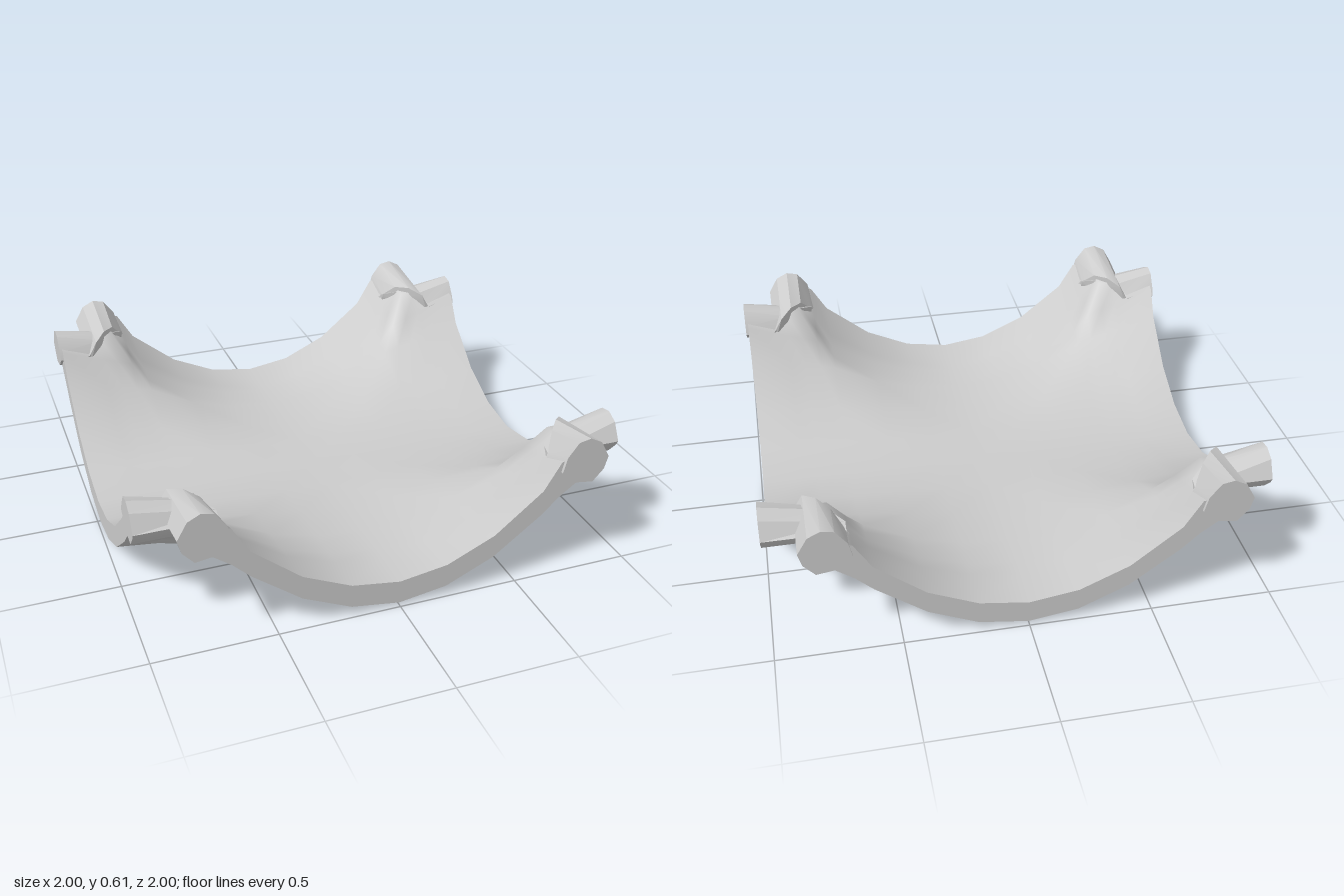
import * as THREE from 'three';
import { toCreasedNormals } from 'three/addons/utils/BufferGeometryUtils.js';

const half = [0.2, 0.4, 0.6, 0.67, 0.74, 0.81, 0.988];
const grid = [...half.map(v => -v).reverse(), 0, ...half];
const N = grid.length;

// Underside height: flat along the axes, lifted at the corners with a soft diagonal ridge
function under(x, z) {
  const far = Math.max(Math.abs(x), Math.abs(z), 0.01);
  return Math.min(0.405, 0.77 * x * x * z * z / far + 0.012 * z * z);
}

// Upper height: even thickness, swelling where the lugs grow out of the corners
function upper(x, z) {
  const near = Math.min(Math.abs(x), Math.abs(z));
  return Math.min(0.53, under(x, z) + 0.1 + 0.12 * THREE.MathUtils.smoothstep(near, 0.56, 0.78));
}

// Grid cells that exist: everything but the four notched corners
const hasCell = (i, j) => {
  if (i < 0 || j < 0 || i > N - 2 || j > N - 2) return false;
  return !((i === 0 || i === N - 2) && (j === 0 || j === N - 2));
};

function sheet(height, flip) {
  const pos = [], index = [];
  for (const z of grid) for (const x of grid) pos.push(x, height(x, z), z);
  for (let j = 0; j < N - 1; j++) for (let i = 0; i < N - 1; i++) {
    if (!hasCell(i, j)) continue;
    const a = j * N + i, b = a + 1, c = a + N, d = c + 1;
    // Split each cell along the diagonal that follows the corner ridge
    const ridge = (i < N / 2 - 1) === (j < N / 2 - 1);
    const tris = ridge ? [a, c, d, a, d, b] : [a, c, b, b, c, d];
    index.push(...(flip ? tris.reverse() : tris));
  }
  const geo = new THREE.BufferGeometry();
  geo.setAttribute('position', new THREE.Float32BufferAttribute(pos, 3));
  geo.setIndex(index);
  geo.computeVertexNormals();
  return geo;
}

// Upright walls wherever a cell has no neighbour
function rim() {
  const pos = [];
  const wall = (x0, z0, x1, z1) => {
    const a = [x0, under(x0, z0), z0], b = [x1, under(x1, z1), z1];
    const c = [x1, upper(x1, z1), z1], d = [x0, upper(x0, z0), z0];
    pos.push(...a, ...b, ...c, ...a, ...c, ...d);
  };
  for (let j = 0; j < N - 1; j++) for (let i = 0; i < N - 1; i++) {
    if (!hasCell(i, j)) continue;
    const x0 = grid[i], x1 = grid[i + 1], z0 = grid[j], z1 = grid[j + 1];
    if (!hasCell(i, j + 1)) wall(x0, z1, x1, z1);
    if (!hasCell(i, j - 1)) wall(x1, z0, x0, z0);
    if (!hasCell(i + 1, j)) wall(x1, z1, x1, z0);
    if (!hasCell(i - 1, j)) wall(x0, z0, x0, z1);
  }
  const geo = new THREE.BufferGeometry();
  geo.setAttribute('position', new THREE.Float32BufferAttribute(pos, 3));
  geo.computeVertexNormals();
  return geo;
}

// Rounded lug at the end of an edge: outline seen from the edge, run inwards
// to a slanted inner end; side is +1 or -1, drop lowers the top
function lug(side, drop) {
  const outline = [[0.67, 0.47], [0.685, 0.535], [0.73, 0.595], [0.78, 0.605],
    [0.83, 0.58], [0.87, 0.51], [0.855, 0.455], [0.81, 0.405], [0.74, 0.415]];
  const shape = new THREE.Shape(outline.map(([u, y]) =>
    new THREE.Vector2(side * u, y > 0.5 ? y - drop : y)));
  const geo = new THREE.ExtrudeGeometry(shape, { depth: 1, bevelEnabled: false });
  const p = geo.attributes.position;
  for (let k = 0; k < p.count; k++) {
    const u = Math.abs(p.getX(k)), y = p.getY(k), t = p.getZ(k);
    const inner = THREE.MathUtils.clamp(0.81 - (u - 0.72) * 1.2, 0.68, 0.87);
    p.setZ(k, inner + (1 - inner) * t);
    if (y > 0.5) p.setY(k, y - 0.05 * (1 - t));
  }
  geo.computeVertexNormals();
  return toCreasedNormals(geo, 0.5);
}

export function createModel() {
  const model = new THREE.Group();
  model.name = 'squareDish';
  const material = new THREE.MeshStandardMaterial({ color: 0xcccccc });
  const add = (name, geo, parent) => {
    const mesh = new THREE.Mesh(geo, material);
    mesh.name = name;
    parent.add(mesh);
  };

  // Curved plate
  const plate = new THREE.Group();
  plate.name = 'plate';
  add('plateTop', sheet(upper, false), plate);
  add('plateUnderside', sheet(under, true), plate);
  add('plateRim', rim(), plate);
  model.add(plate);

  // A pair of lugs on each of the four edges
  ['front', 'left', 'back', 'right'].forEach((name, k) => {
    const pair = new THREE.Group();
    pair.name = name + 'Lugs';
    for (const side of [1, -1]) add(name + 'Lug', lug(side, k % 2 ? 0.03 : 0), pair);
    pair.rotation.y = k * Math.PI / 2;
    model.add(pair);
  });
  return model;
}
